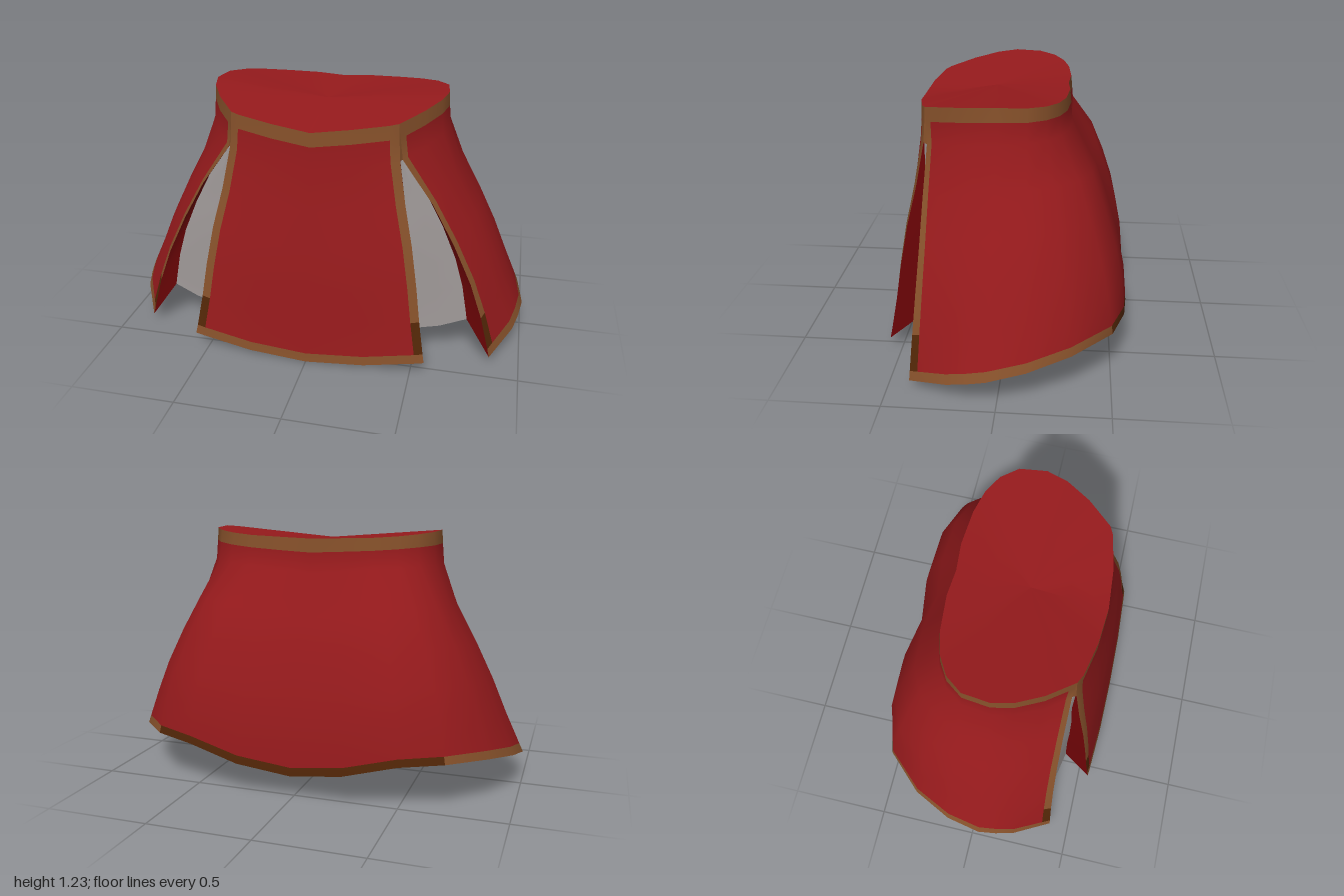
import * as THREE from 'three';

const mat = (name, color) => {
  const m = new THREE.MeshStandardMaterial({ color, side: THREE.DoubleSide });
  m.name = name;
  return m;
};

// Row heights (0 = waist, 1 = hem) and how far the cloth has flared at each row
const ROWS = [0, 0.06, 0.15, 0.33, 0.5, 0.67, 0.82, 0.962, 1];
const SIDE_FLARE = [0, 0.01, 0.03, 0.19, 0.42, 0.63, 0.79, 0.955, 1];
const BACK_FLARE = [0, 0.02, 0.05, 0.43, 0.65, 0.83, 0.94, 0.99, 1];
const PANEL_FLARE = [0, 0.02, 0.06, 0.26, 0.5, 0.68, 0.81, 0.955, 1];
const SLIT = 2; // row where the slits start
const LAST = ROWS.length - 2; // hem row of cells

const mix = THREE.MathUtils.lerp;
const mixAll = (a, b, t) => a.map((v, i) => mix(v, b[i], t));
const flip = (column) => column.map(([x, y, z]) => [-x, y, z]);

// A column of points running from the waist point to the hem point
const makeColumn = (waist, hem, flare) => ROWS.map((t, i) => [
  mix(waist[0], hem[0], flare[i]),
  mix(waist[1], hem[1], t),
  mix(waist[2], hem[2], flare[i]),
]);

// Sheet of cloth through columns; pick(column, row) gives the material of a cell
function makeSheet(name, columns, materials, pick = () => 0) {
  const n = columns[0].length;
  const buckets = materials.map(() => []);
  for (let j = 0; j < columns.length - 1; j++) {
    for (let i = 0; i < n - 1; i++) {
      const a = j * n + i, b = a + n;
      buckets[pick(j, i)].push(a, a + 1, b, b, a + 1, b + 1);
    }
  }
  const geo = new THREE.BufferGeometry();
  geo.setAttribute('position', new THREE.Float32BufferAttribute(columns.flat(2), 3));
  geo.setIndex(buckets.flat());
  let start = 0;
  buckets.forEach((list, k) => {
    if (list.length) geo.addGroup(start, list.length, k);
    start += list.length;
  });
  geo.computeVertexNormals();
  const mesh = new THREE.Mesh(geo, materials);
  mesh.name = name;
  return mesh;
}

export function createModel() {
  const red = mat('red cloth', 0x951a1c);
  const darkRed = mat('dark red lining', 0x6c0406);
  const brown = mat('brown trim', 0x85502a);
  const darkBrown = mat('dark brown trim', 0x522607);
  const grey = mat('grey underlay', 0x9d9796);
  const cloth = [red, brown, darkBrown];

  const model = new THREE.Group();
  model.name = 'skirt';

  // Left half of the wrap, front edge to centre back: waist, hem, back-likeness
  const half = [
    [[0.385, 1.168, 0.37], [0.86, 0.04, 0.40], 0.65],
    [[0.48, 1.195, 0.25], [0.96, 0.10, 0.22], 0.25],
    [[0.545, 1.215, 0.13], [0.985, 0.125, 0.13], 0.08],
    [[0.57, 1.225, 0.03], [1.0, 0.15, 0.04], 0],
    [[0.555, 1.222, -0.10], [0.97, 0.185, -0.13], 0.1],
    [[0.495, 1.215, -0.18], [0.88, 0.22, -0.32], 0.4],
    [[0.41, 1.207, -0.23], [0.71, 0.235, -0.50], 0.7],
    [[0.30, 1.20, -0.26], [0.51, 0.22, -0.56], 1],
    [[0.13, 1.195, -0.275], [0.26, 0.155, -0.58], 1],
    [[0, 1.19, -0.265], [0, 0.11, -0.545], 1],
  ].map(([w, h, k]) => makeColumn(w, h, mixAll(SIDE_FLARE, BACK_FLARE, k)));
  // The slit edge bows slightly backward halfway down
  half[0].forEach((p, i) => { p[2] -= 0.018 * Math.sin(Math.PI * ROWS[i]); });
  // Extra column that bounds the trim along the slit
  half.splice(1, 0, half[0].map((p, i) => mixAll(p, half[1][i], 0.22)));

  const wrapColumns = [...half, ...half.slice(0, -1).reverse().map(flip)];
  const wrapCells = wrapColumns.length - 1;
  model.add(makeSheet('wrap', wrapColumns, cloth, (j, i) => {
    const fromEdge = Math.min(j, wrapCells - 1 - j);
    if (i === 0) return 1;
    if (i === LAST) return fromEdge >= 7 ? 2 : 1;
    if (fromEdge === 0) return i === LAST - 1 ? 2 : 1;
    return 0;
  }));

  // Front panel, centre to left edge, then mirrored
  const panelHalf = [
    [[0, 1.12, 0.44], [0, 0.0, 0.575]],
    [[0.18, 1.143, 0.425], [0.28, 0.02, 0.57]],
    [[0.345, 1.163, 0.39], [0.525, 0.058, 0.554]],
    [[0.385, 1.168, 0.37], [0.565, 0.065, 0.55]],
  ].map(([w, h]) => makeColumn(w, h, PANEL_FLARE));
  const panelColumns = [...panelHalf.slice(1).reverse().map(flip), ...panelHalf];
  const panelCells = panelColumns.length - 1;
  model.add(makeSheet('frontPanel', panelColumns, cloth, (j, i) => {
    const atEdge = j === 0 || j === panelCells - 1;
    if (i === 0 || i === LAST) return 1;
    if (atEdge) return i === LAST - 1 ? 2 : 1;
    return 0;
  }));

  // Slits: a lining folds inward from each edge to a grey underlay
  const wrapEdge = half[0];
  const panelEdge = panelHalf[panelHalf.length - 1];
  const foldIn = (edge, dx, dy, dz) => edge.map(([x, y, z], i) => {
    const s = Math.max(0, (ROWS[i] - 0.15) / 0.85) ** 0.85;
    return [x + dx * s, y + dy * s, z + dz * s - 0.004];
  }).slice(SLIT);
  const outer = foldIn(wrapEdge, -0.12, 0.17, -0.04);
  const inner = foldIn(panelEdge, -0.075, 0.09, -0.14);
  // The underlay sags a little between its two sides
  const middle = inner.map((p, i) => {
    const [x, y, z] = mixAll(p, outer[i], 0.5);
    return [x, y - 0.012 * i / (inner.length - 1), z];
  });
  const folds = [
    ['panelLining', [panelEdge.slice(SLIT), inner], darkRed],
    ['underlay', [inner, middle, outer], grey],
    ['wrapLining', [outer, wrapEdge.slice(SLIT)], darkRed],
  ];
  for (const [name, columns, material] of folds) {
    model.add(makeSheet(name + 'Left', columns, [material]));
    model.add(makeSheet(name + 'Right', [...columns].reverse().map(flip), [material]));
  }

  // Seams that close the cloth between waist and slit
  const seam = [panelEdge.slice(0, SLIT + 1), wrapEdge.slice(0, SLIT + 1)];
  model.add(makeSheet('seamLeft', seam, [brown]));
  model.add(makeSheet('seamRight', [...seam].reverse().map(flip), [brown]));

  // Waist cap, a fan from the middle to the rim
  const rim = [...wrapColumns, ...panelColumns.slice(1)].map((c) => c[0]);
  const fan = rim.map((p) => [[0, 1.175, 0.08], mixAll([0, 1.175, 0.08], p, 0.5), p]);
  model.add(makeSheet('waistCap', fan, [red]));

  return model;
}
